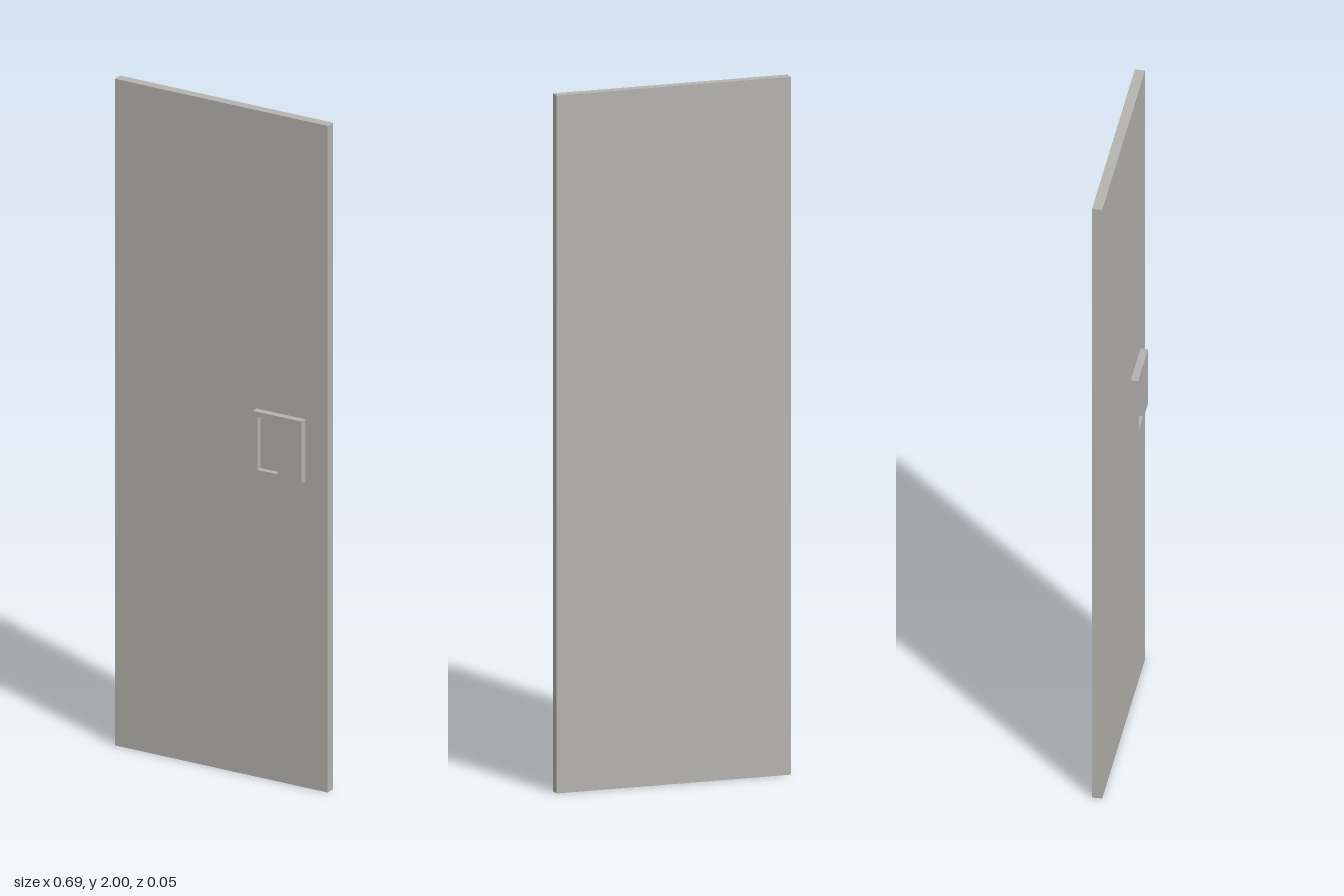
import * as THREE from 'three';

const doorGrey = new THREE.MeshStandardMaterial({ color: 0xb6b4b0 });
doorGrey.name = 'doorGrey';
const handleGrey = new THREE.MeshStandardMaterial({ color: 0xb5b2b2 });
handleGrey.name = 'handleGrey';

// Adds a closed rectangle to a shape or hole path
function rect(path, x0, y0, x1, y1) {
  path.moveTo(x0, y0);
  path.lineTo(x1, y0);
  path.lineTo(x1, y1);
  path.lineTo(x0, y1);
  path.closePath();
  return path;
}

export function createModel() {
  const group = new THREE.Group();
  group.name = 'door';

  // Flat door leaf
  const panel = new THREE.Mesh(new THREE.BoxGeometry(0.694, 2, 0.029), doorGrey);
  panel.name = 'doorPanel';
  panel.position.set(0, 1, -0.011);
  group.add(panel);

  // Raised handle plate with a finger recess
  const outline = rect(new THREE.Shape(), 0.115, 0.919, 0.275, 1.105);
  outline.holes.push(rect(new THREE.Path(), 0.13, 0.931, 0.196, 1.09));
  const plate = new THREE.Mesh(
    new THREE.ExtrudeGeometry(outline, { depth: 0.021, bevelEnabled: false }),
    handleGrey
  );
  plate.name = 'handlePlate';
  plate.position.z = 0.0035;
  group.add(plate);

  // Floor of the finger recess
  const floor = new THREE.Mesh(new THREE.BoxGeometry(0.066, 0.159, 0.004), handleGrey);
  floor.name = 'recessFloor';
  floor.position.set(0.163, 1.0105, 0.0055);
  group.add(floor);

  return group;
}
